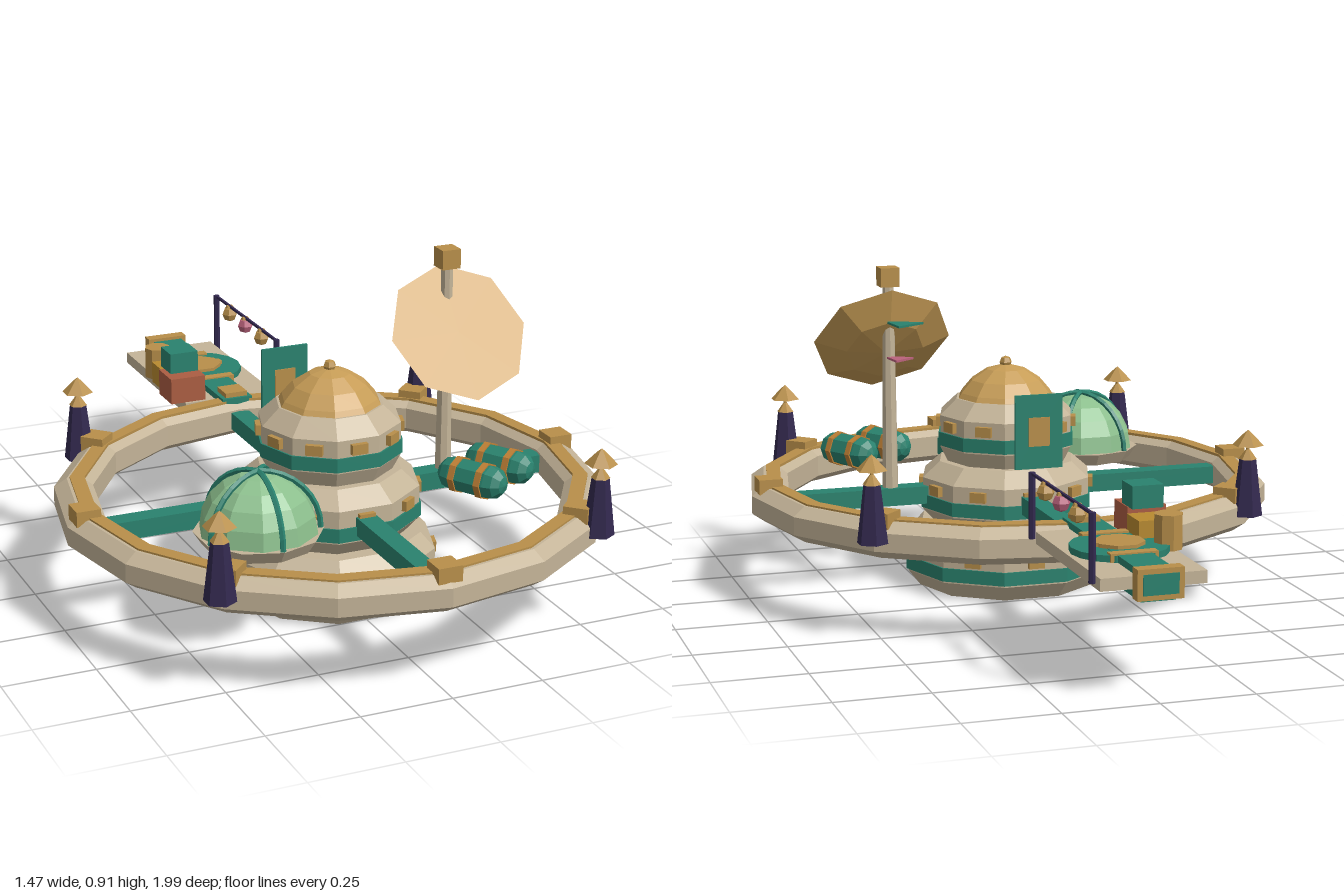
import * as THREE from 'three';

const mat = (name, color, side = THREE.FrontSide) => {
  const m = new THREE.MeshStandardMaterial({ color, flatShading: true, side });
  m.name = name;
  return m;
};

export function createModel() {
  const stone = mat('stone', 0xc4b498), teal = mat('teal', 0x2a826e), gold = mat('gold', 0xb88f4a);
  const brass = mat('brass', 0xc69c56), glass = mat('green glass', 0x8cbf8d), purple = mat('dark purple', 0x33294f);
  const orange = mat('orange', 0xbe7f35), red = mat('brick red', 0xab5d42);
  const pink = mat('pink', 0xbb627c), amber = mat('amber', 0xb88a30);

  const root = new THREE.Group();
  const add = (parent, name, geo, material, x = 0, y = 0, z = 0) => {
    const m = new THREE.Mesh(geo, material);
    m.name = name;
    m.position.set(x, y, z);
    parent.add(m);
    return m;
  };
  const group = (parent, name, x = 0, y = 0, z = 0) => {
    const g = new THREE.Group();
    g.name = name;
    g.position.set(x, y, z);
    parent.add(g);
    return g;
  };
  const box = (w, h, d) => new THREE.BoxGeometry(w, h, d);
  const cyl = (rt, rb, h, n = 8) => new THREE.CylinderGeometry(rt, rb, h, n);
  const lathe = (pts, n, start = 0) =>
    new THREE.LatheGeometry(pts.map(p => new THREE.Vector2(...p)), n, start);

  // Everything round sits around one axis
  const station = group(root, 'station', 0, 0, 0.255);

  // Hub: three stacked tiers, each with a teal belt and ten windows
  const P = Math.PI / 10;
  const tier = (name, y0, r, rb, rt, h) => {
    const g = group(station, name, 0, y0, 0);
    add(g, 'tierBody', lathe([[0, 0], [rb, 0], [r, 0.045], [r, 0.135], [rt, h], [0, h]], 10, P), stone);
    add(g, 'tierBelt', lathe([[r, 0.05], [r + 0.005, 0.05], [r + 0.005, 0.088], [r, 0.088]], 10, P), teal);
    for (let i = 0; i < 10; i++) {
      const a = i * P * 2, d = r * Math.cos(P) + 0.004;
      const w = add(g, 'window', box(0.045, 0.028, 0.02), gold, Math.sin(a) * d, 0.11, Math.cos(a) * d);
      w.rotation.y = a;
    }
  };
  tier('lowerTier', 0, 0.29, 0.255, 0.25, 0.178);
  tier('middleTier', 0.176, 0.245, 0.205, 0.195, 0.178);
  tier('upperTier', 0.351, 0.193, 0.17, 0.145, 0.18);
  add(station, 'hubDome', lathe([[0.145, 0.52], [0.13, 0.545], [0.1, 0.58], [0.055, 0.61], [0, 0.625]], 10, P), brass);
  add(station, 'domeKnob', new THREE.SphereGeometry(0.018, 6, 4), gold, 0, 0.628, 0);

  // Outer ring with a gold rail on top
  add(station, 'ring', lathe([[0.735, 0.24], [0.735, 0.29], [0.7, 0.314], [0.655, 0.314], [0.63, 0.295],
    [0.63, 0.235], [0.655, 0.216], [0.7, 0.216], [0.735, 0.24]], 16), stone);
  add(station, 'ringRail', lathe([[0.692, 0.31], [0.692, 0.319], [0.652, 0.319], [0.652, 0.31]], 16), gold);
  for (let i = 0; i < 8; i++) {
    const a = i * Math.PI / 4;
    const b = add(station, 'ringBlock', box(0.066, 0.042, 0.066), gold, Math.sin(a) * 0.687, 0.319, Math.cos(a) * 0.687);
    b.rotation.y = a;
  }
  // Spokes
  for (let i = 0; i < 4; i++) {
    const a = i * Math.PI / 2;
    const s = add(station, 'spoke', box(0.055, 0.05, 0.46), teal, Math.sin(a) * 0.41, 0.265, Math.cos(a) * 0.41);
    s.rotation.y = a;
  }

  // Lamp towers on the ring diagonals
  for (const sx of [-1, 1]) for (const sz of [-1, 1]) {
    const g = group(station, 'lampTower', sx * 0.524, 0, sz * 0.524);
    add(g, 'towerBody', cyl(0.023, 0.042, 0.155, 6), purple, 0, 0.342, 0);
    add(g, 'lampBase', cyl(0.006, 0.025, 0.026, 6), gold, 0, 0.433, 0);
    add(g, 'lampPost', cyl(0.005, 0.005, 0.05, 5), gold, 0, 0.445, 0);
    add(g, 'lampRoof', cyl(0.012, 0.043, 0.032, 6), gold, 0, 0.474, 0);
    add(g, 'roofTip', cyl(0, 0.012, 0.01, 6), gold, 0, 0.495, 0);
  }

  // Glass garden dome with five ribs
  const garden = group(root, 'gardenDome', -0.315, 0.318, 0.52);
  add(garden, 'gardenBase', cyl(0.168, 0.145, 0.035, 10), stone, 0, -0.0175, 0);
  add(garden, 'glassDome', new THREE.SphereGeometry(0.155, 10, 5, 0, Math.PI * 2, 0, Math.PI / 2), glass);
  for (let i = 0; i < 5; i++) {
    const pivot = group(garden, 'rib');
    pivot.rotation.y = -Math.PI / 2 + i * Math.PI * 0.4;
    add(pivot, 'ribArc', new THREE.TorusGeometry(0.158, 0.008, 5, 8, Math.PI / 2), teal);
  }

  // Banded cargo tanks
  for (const [x, z, a] of [[0.295, 0.515, 0.52], [0.41, 0.45, 0.52]]) {
    const tank = group(root, 'cargoTank', x, 0.36, z);
    tank.rotation.y = a;
    const body = add(tank, 'tankBody', new THREE.CapsuleGeometry(0.046, 0.11, 3, 8), teal);
    body.rotation.x = Math.PI / 2;
    for (const d of [-0.04, 0.04]) {
      const band = add(tank, 'tankBand', cyl(0.05, 0.05, 0.018, 8), orange, 0, 0, d);
      band.rotation.x = Math.PI / 2;
    }
  }

  // Mast with dish and pennants
  const mast = group(root, 'mast', 0.34, 0, 0.255);
  add(mast, 'mastPole', cyl(0.016, 0.023, 0.6, 8), stone, 0, 0.57, 0);
  add(mast, 'mastCap', box(0.053, 0.053, 0.053), gold, 0, 0.885, 0);
  const dish = add(mast, 'dish', lathe([[0, -0.055], [0.11, -0.042], [0.195, 0], [0, 0]], 8), brass, 0, 0.7, 0.075);
  dish.rotation.x = 0.9;
  const pennant = (name, y, material, pts) => {
    const s = new THREE.Shape(pts.map(p => new THREE.Vector2(...p)));
    const m = add(mast, name, new THREE.ExtrudeGeometry(s, { depth: 0.006, bevelEnabled: false }), material, 0, y, 0);
    m.rotation.x = -Math.PI / 2;
  };
  pennant('upperPennant', 0.757, teal, [[0.01, 0.02], [0, 0.115], [-0.085, 0.06]]);
  pennant('lowerPennant', 0.657, pink, [[0.01, 0.005], [0, 0.085], [-0.06, 0.04]]);

  // Upright panel behind the hub
  const panel = group(root, 'panel', 0, 0.485, -0.047);
  add(panel, 'panelBoard', box(0.135, 0.205, 0.008), teal);
  add(panel, 'panelInset', box(0.06, 0.08, 0.014), gold);

  // Dock
  const dock = group(root, 'dock');
  add(dock, 'platform', box(0.275, 0.032, 0.5), stone, 0, 0.292, -0.7);
  add(dock, 'dockTunnel', box(0.09, 0.076, 0.59), teal, 0, 0.288, -0.685);
  add(dock, 'landingPad', cyl(0.127, 0.127, 0.018, 16), teal, 0, 0.316, -0.7);
  add(dock, 'padCentre', cyl(0.066, 0.066, 0.012, 8), gold, 0, 0.329, -0.7).rotation.y = Math.PI / 8;
  add(dock, 'padKnob', cyl(0.02, 0.02, 0.012, 6), gold, 0.055, 0.329, -0.7);
  for (const z of [-0.8, -0.585]) add(dock, 'tunnelBand', box(0.125, 0.084, 0.028), gold, 0, 0.288, z);
  add(dock, 'dockFrame', box(0.12, 0.078, 0.035), gold, 0, 0.296, -0.98);
  add(dock, 'dockHatch', box(0.092, 0.052, 0.006), teal, 0, 0.296, -0.997);

  // Freight on the dock
  const freight = group(dock, 'freight');
  add(freight, 'redCrate', box(0.105, 0.075, 0.1), red, -0.125, 0.345, -0.51);
  add(freight, 'tealCrate', box(0.085, 0.06, 0.078), teal, -0.118, 0.412, -0.548);
  add(freight, 'amberCrate', box(0.095, 0.062, 0.09), amber, -0.112, 0.339, -0.623);
  add(freight, 'barrel', cyl(0.038, 0.038, 0.09, 8), gold, -0.125, 0.353, -0.715);

  // Lantern line
  const line = group(dock, 'lanternLine', 0.148, 0, 0);
  for (const z of [-0.45, -0.92]) add(line, 'linePost', cyl(0.009, 0.009, 0.175, 6), purple, 0, 0.378, z);
  add(line, 'lineWire', box(0.007, 0.007, 0.47), purple, 0, 0.462, -0.685);
  [-0.563, -0.688, -0.812].forEach((z, i) => {
    add(line, 'lantern', new THREE.SphereGeometry(0.024, 6, 4), i === 1 ? pink : gold, 0, 0.438, z);
    add(line, 'lanternCap', cyl(0.01, 0.014, 0.008, 6), gold, 0, 0.46, z);
  });

  return root;
}
